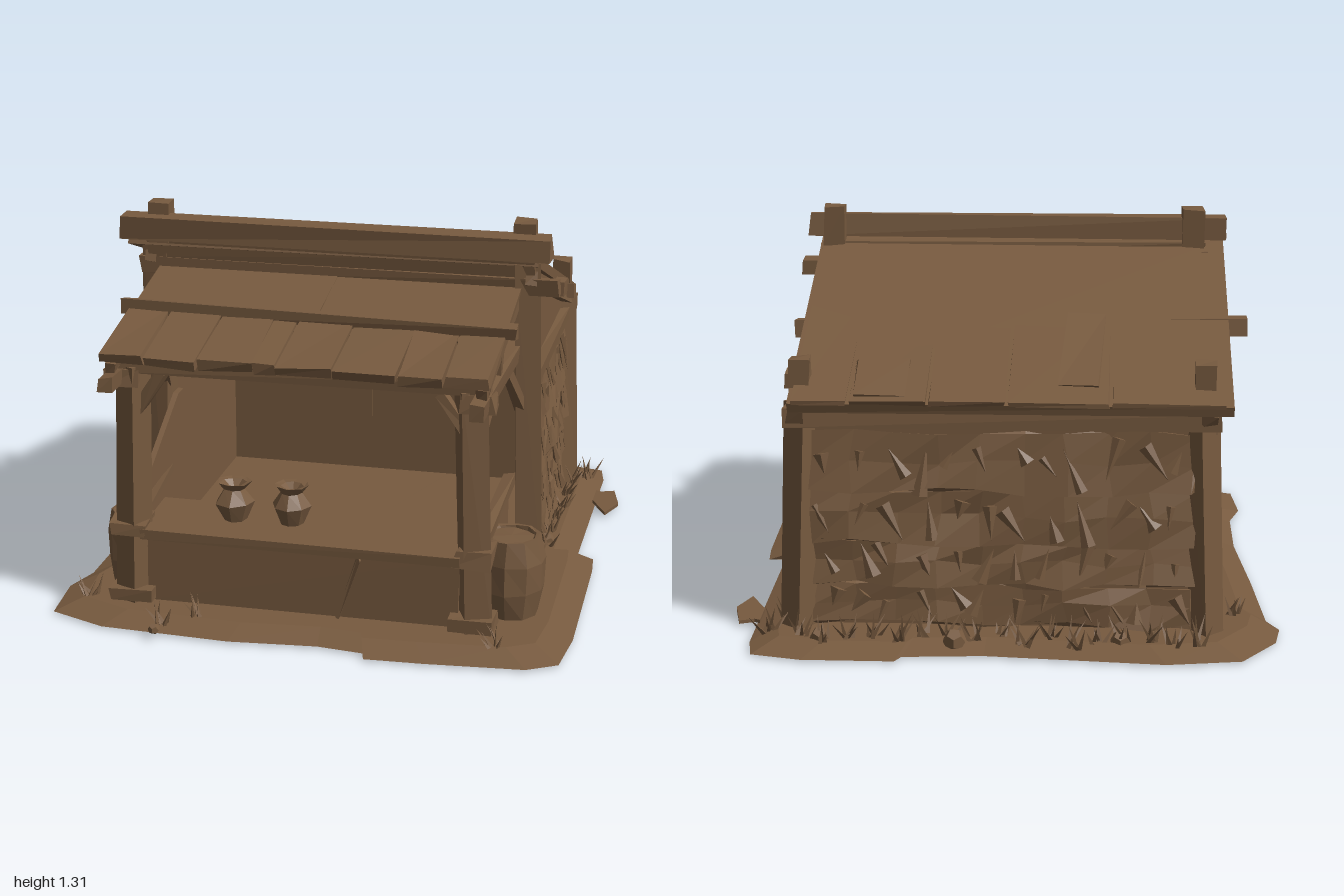
import * as THREE from 'three';
import { mergeGeometries } from 'three/addons/utils/BufferGeometryUtils.js';

const wood = new THREE.MeshStandardMaterial({ color: 0x775a3f });
wood.name = 'weathered brown';

let seed = 7;
const rnd = () => { seed = (seed * 16807) % 2147483647; return seed / 2147483647; };
const range = (a, b) => a + (b - a) * rnd();
const V = (x, y, z) => new THREE.Vector3(x, y, z);

// Flat facets for any geometry
function flat(g) {
  const f = g.index ? g.toNonIndexed() : g;
  f.computeVertexNormals();
  return f;
}

// Shift corners a little, equal corners together, for a hewn look
function hew(g, amount) {
  const p = g.attributes.position, s = rnd() * 10;
  const h = (x, y, z, k) => {
    const v = Math.sin(x * 127.1 + y * 311.7 + z * 74.7 + k * 19.3 + s) * 4375.5;
    return (v - Math.floor(v) - 0.5) * 2 * amount;
  };
  for (let i = 0; i < p.count; i++) {
    const [x, y, z] = [p.getX(i), p.getY(i), p.getZ(i)].map(v => Math.round(v * 1e4) / 1e4);
    p.setXYZ(i, x + h(x, y, z, 1), y + h(x, y, z, 2), z + h(x, y, z, 3));
  }
  return flat(g);
}

export function createModel() {
  const model = new THREE.Group();
  model.name = 'marketStall';

  const add = (name, geometry, parent = model) => {
    const m = new THREE.Mesh(geometry, wood);
    m.name = name;
    parent.add(m);
    return m;
  };
  const box = (name, w, h, d, x, y, z, rough = 0.005) => {
    const m = add(name, hew(new THREE.BoxGeometry(w, h, d), rough));
    m.position.set(x, y, z);
    return m;
  };
  // Squared timber running from a to b
  const beam = (name, a, b, w, h = w, rough = 0.006) => {
    const m = add(name, hew(new THREE.BoxGeometry(w, h, a.distanceTo(b)), rough));
    m.position.copy(a).lerp(b, 0.5);
    m.lookAt(b);
    return m;
  };
  // Upright panel across x, outlined as [z, y] points
  const sidePanel = (name, x, points, t = 0.03) => {
    const shape = new THREE.Shape(points.map(([z, y]) => new THREE.Vector2(-z, y)));
    const g = new THREE.ExtrudeGeometry(shape, { depth: t, bevelEnabled: false });
    g.translate(0, 0, -t / 2).rotateY(Math.PI / 2);
    add(name, flat(g)).position.x = x;
  };

  // Ground mound with sloping rim
  const rim = [[-0.94, -0.66], [-0.92, -0.78], [-0.8, -0.95], [-0.55, -0.99], [0.05, -0.94], [0.32, -0.96], [0.34, -1],
    [0.65, -1], [0.82, -0.96], [0.84, -0.85], [0.84, -0.02], [0.9, -0.03], [0.91, 0.08], [0.92, 0.68], [0.9, 0.88],
    [0.8, 0.94], [0.47, 0.97], [0.27, 0.98], [0.28, 0.94], [0.1, 0.92], [-0.2, 0.95], [-0.65, 0.93],
    [-0.85, 0.85], [-0.87, 0.63], [-0.83, 0.5], [-0.83, 0.2], [-0.87, -0.2], [-0.9, -0.58]];
  const verts = [], tri = (...p) => p.forEach(v => verts.push(...v));
  rim.forEach(([x, z], i) => {
    const [x2, z2] = rim[(i + 1) % rim.length];
    const a = [x, 0, z], b = [x2, 0, z2], k = 0.9;
    const c = [x * k, 0.03, z * k], d = [x2 * k, 0.03, z2 * k];
    tri(a, c, b); tri(b, c, d);
    tri([0, 0.035, 0], d, c);
    tri([0, 0, 0], a, b);
  });
  const ground = new THREE.BufferGeometry();
  ground.setAttribute('position', new THREE.Float32BufferAttribute(verts, 3));
  add('ground', flat(ground));
  const shard = new THREE.Shape([[0.83, 0.69], [0.83, 0.58], [0.89, 0.46], [0.93, 0.57], [0.9, 0.7], [0.85, 0.68]]
    .map(p => new THREE.Vector2(...p)));
  add('groundShard', flat(new THREE.ExtrudeGeometry(shard, { depth: 0.012, bevelEnabled: false }).rotateX(-Math.PI / 2)))
    .position.y = 0.005;

  // Hut posts, rafters, braces and porch frame, mirrored
  for (const s of [-1, 1]) {
    beam('hutFrontPost', V(s * 0.685, 0.02, 0.145), V(s * 0.66, 1.15, 0.15), 0.09);
    box('hutPostFoot', 0.12, 0.07, 0.13, s * 0.68, 0.06, 0.145);
    beam('hutBackPost', V(s * 0.685, 0.02, -0.75), V(s * 0.66, 0.8, -0.72), 0.085);
    beam('hutRafter', V(s * 0.68, 1.11, 0.2), V(s * 0.68, 0.77, -0.79), 0.05);
    beam('wallRail', V(s * 0.68, 0.73, 0.13), V(s * 0.68, 0.73, -0.74), 0.05);
    box('ridgePeg', 0.075, 0.14, 0.085, s * 0.65, 1.23, 0.165);
    box('eavePeg', 0.07, 0.13, 0.07, s * 0.67, 0.88, -0.7);

    beam('porchPost', V(s * 0.595, 0.02, 0.73), V(s * 0.575, 0.88, 0.74), 0.085);
    box('porchPostFoot', 0.15, 0.05, 0.12, s * 0.59, 0.06, 0.73);
    box('porchPostBlock', 0.13, 0.05, 0.12, s * 0.595, 0.3, 0.73, 0.012);
    box('porchPostCap', 0.11, 0.05, 0.11, s * 0.6, 0.84, 0.74, 0.01);
    beam('porchRail', V(s * 0.62, 0.835, 0.12), V(s * 0.62, 0.85, 0.9), 0.05);
    beam('porchRafter', V(s * 0.62, 1.03, 0.16), V(s * 0.62, 0.89, 0.84), 0.04);
    beam('porchBrace', V(s * 0.59, 0.7, 0.72), V(s * 0.61, 0.83, 0.56), 0.035);
    beam('hutBrace', V(s * 0.65, 0.63, 0.17), V(s * 0.62, 0.82, 0.33), 0.035);
    beam('frontBrace', V(s * 0.56, 0.72, 0.74), V(s * 0.47, 0.86, 0.75), 0.035);
    beam('counterSideRail', V(s * 0.61, 0.36, 0.16), V(s * 0.6, 0.31, 0.72), 0.04);
    box('awningStrut', 0.04, 0.12, 0.04, s * 0.62, 0.91, 0.54);

    sidePanel('hutSideWall', s * 0.655, [[0.14, 0.02], [-0.74, 0.02], [-0.74, 0.78], [0.14, 1.1]]);
  }
  sidePanel('rightPorchPanel', -0.6, [[0.66, 0.02], [0.66, 0.36], [0.2, 0.6], [0.14, 0.6], [0.14, 0.02]], 0.02);
  sidePanel('leftPorchPanel', 0.6, [[0.7, 0.02], [0.7, 0.3], [0.14, 0.36], [0.14, 0.02]], 0.02);
  for (const y of [0.08, 0.43]) beam('rightWallBatten', V(-0.68, y, 0.1), V(-0.68, y, -0.7), 0.035, 0.045);

  // Back wall with inner posts and brace
  box('backWall', 1.32, 0.78, 0.03, 0, 0.41, -0.72, 0);
  box('backWallSeam', 0.012, 0.5, 0.008, -0.08, 0.5, -0.703, 0);
  beam('innerBrace', V(-0.55, 0.72, -0.66), V(0.55, 0.79, -0.66), 0.05, 0.06);
  beam('backEaveBeam', V(-0.72, 0.76, -0.75), V(0.72, 0.76, -0.75), 0.06);

  // Main roof, with boards lifting towards the eave
  const roofPoint = (t, lift = 0, x = -0.03) => V(x, 1.165 - 0.36 * t + lift, 0.2 - 1.01 * t);
  beam('mainRoof', roofPoint(0), roofPoint(1), 1.46, 0.035, 0.003);
  const seams = [-0.74, -0.36, -0.02, 0.24, 0.5, 0.69];
  seams.slice(1).forEach((x2, i) => {
    const x1 = seams[i], x = (x1 + x2) / 2, start = [0.55, 0.5, 0.45, 0.6, 0.4][i];
    beam('roofBoard', roofPoint(start, 0.008, x), roofPoint(1.01, 0.024, x), x2 - x1 - 0.012, 0.016, 0.003);
  });
  beam('loosePlank', roofPoint(0.5, 0.024, -0.27), roofPoint(0.92, 0.032, -0.25), 0.13, 0.014);
  beam('loosePlank', roofPoint(0.78, 0.032, 0.4), roofPoint(0.99, 0.034, 0.4), 0.17, 0.014);

  // Ridge timber and purlins whose ends stick out
  beam('ridgeBeam', V(-0.77, 1.215, 0.22), V(0.75, 1.22, 0.225), 0.075, 0.08);
  beam('lowerRidgeBeam', V(-0.69, 1.14, 0.17), V(0.69, 1.14, 0.17), 0.06, 0.07);
  beam('frontPurlin', V(-0.72, 1.08, 0.17), V(0.77, 1.07, 0.17), 0.055, 0.06);
  beam('middlePurlin', V(-0.82, 0.98, -0.3), V(0.74, 0.95, -0.28), 0.055, 0.06);
  beam('backPurlin', V(-0.74, 0.85, -0.62), V(0.73, 0.85, -0.6), 0.05);
  beam('hutLintel', V(-0.67, 0.99, 0.15), V(0.67, 0.99, 0.15), 0.05, 0.07);

  // Awning: upper sheet, pole and overlapping front boards
  const awn = (z, lift = 0, x = 0) => V(x, 1.06 - (z - 0.2) * 0.21 + lift, z);
  for (const s of [-1, 1]) beam('awningSheet', awn(0.18, 0, s * 0.325), awn(0.6, 0, s * 0.325), 0.645, 0.025, 0.004);
  beam('awningPole', awn(0.53, 0.03, -0.68), awn(0.55, 0.03, 0.69), 0.045);
  const cuts = [-0.65, -0.5, -0.32, -0.13, -0.05, 0.14, 0.35, 0.5, 0.65];
  cuts.slice(1).forEach((x2, i) => {
    const x = (cuts[i] + x2) / 2, w = x2 - cuts[i] - 0.006;
    beam('awningBoard', awn(0.52, 0.005, x), awn(range(0.84, 0.87), 0.005, x), w, 0.035, 0.006);
  });
  beam('porchFrontBeam', V(-0.64, 0.89, 0.76), V(0.64, 0.89, 0.76), 0.05, 0.05);

  // Counter
  box('counterTop', 1.1, 0.04, 0.3, 0, 0.29, 0.65);
  box('counterFront', 1.08, 0.25, 0.03, 0, 0.15, 0.72, 0.004);
  beam('counterSlat', V(0.13, 0.03, 0.737), V(0.2, 0.26, 0.737), 0.05, 0.012, 0.008);

  // Pots and barrels turned with few sides
  const turned = (name, profile, sides, x, y, z) => {
    const pts = profile.map(([r, h]) => new THREE.Vector2(r, h));
    add(name, hew(new THREE.LatheGeometry(pts, sides), 0.003)).position.set(x, y, z);
  };
  const vase = [[0, 0], [0.04, 0], [0.068, 0.065], [0.035, 0.112], [0.06, 0.14], [0.04, 0.135], [0, 0.1]];
  turned('vase', vase, 7, -0.26, 0.31, 0.63);
  turned('vase', vase, 8, -0.06, 0.31, 0.62);
  const barrel = [[0, 0], [0.095, 0], [0.118, 0.1], [0.118, 0.2], [0.1, 0.285], [0.085, 0.285], [0.08, 0.275], [0, 0.275]];
  turned('barrel', barrel, 10, 0.685, 0.025, 0.545);
  turned('smallBarrel', barrel.map(([r, h]) => [r * 0.7, h * 0.95]), 9, -0.65, 0.025, 0.58);

  // Thatch on a wall: overlapping strips with ragged straw, facing local +z
  function thatch(width, pos, turn) {
    const wall = new THREE.Group();
    wall.name = 'thatchedWall';
    wall.position.copy(pos);
    wall.rotation.y = turn;
    model.add(wall);
    const rows = [0.04, 0.18, 0.33, 0.51, 0.71];
    for (let r = 0; r < 4; r++) {
      const h = rows[r + 1] - rows[r], y = (rows[r] + rows[r + 1]) / 2;
      const strip = add('thatchStrip', hew(new THREE.BoxGeometry(width, h, 0.02, 9, 2, 1), 0.014), wall);
      strip.position.set(0, y, 0.008);
      strip.rotation.x = -0.12;
      const straws = [];
      for (let i = 0; i < 12; i++) {
        const g = new THREE.ConeGeometry(range(0.012, 0.03), range(0.06, h * 0.9), 4);
        g.scale(1, 1, 0.5).rotateZ((rnd() < 0.6 ? Math.PI : 0) + range(-0.7, 0.7)).rotateX(-0.12);
        g.translate((i + range(0.2, 0.8)) / 12 * width - width / 2, y + range(-0.03, 0.03), 0.022);
        straws.push(flat(g));
      }
      add('straw', mergeGeometries(straws), wall);
    }
  }
  thatch(0.76, V(0.675, 0, -0.3), Math.PI / 2);
  thatch(1.28, V(0, 0, -0.74), Math.PI);

  // Grass tufts and stones
  function tuft(x, z, height) {
    const blades = [];
    for (let i = 0; i < 7; i++) {
      const h = height * range(0.5, 1);
      const g = new THREE.ConeGeometry(0.009, h, 3);
      g.translate(0, h / 2, 0).rotateZ(range(-0.6, 0.6)).rotateX(range(-0.6, 0.6));
      blades.push(flat(g.translate(range(-0.02, 0.02), 0, range(-0.02, 0.02))));
    }
    add('grassTuft', mergeGeometries(blades)).position.set(x, 0.02, z);
  }
  for (let i = 0; i < 17; i++) tuft(-0.66 + i * 0.083, range(-0.9, -0.81), range(0.09, 0.14));
  for (let i = 0; i < 6; i++) tuft(0.72, -0.72 + i * 0.13, 0.11);
  for (const [x, z] of [[-0.78, -0.6], [-0.75, 0.75], [-0.45, 0.9], [-0.34, 0.84], [0.68, 0.84], [0.78, -0.8]]) tuft(x, z, 0.1);
  for (const [x, z, r] of [[-0.4, -0.86, 0.035], [0.15, -0.88, 0.04], [0.72, -0.1, 0.03], [-0.45, 0.97, 0.02], [0.6, -0.87, 0.035]]) {
    add('stone', flat(new THREE.DodecahedronGeometry(r))).position.set(x, 0.03, z);
  }
  return model;
}
